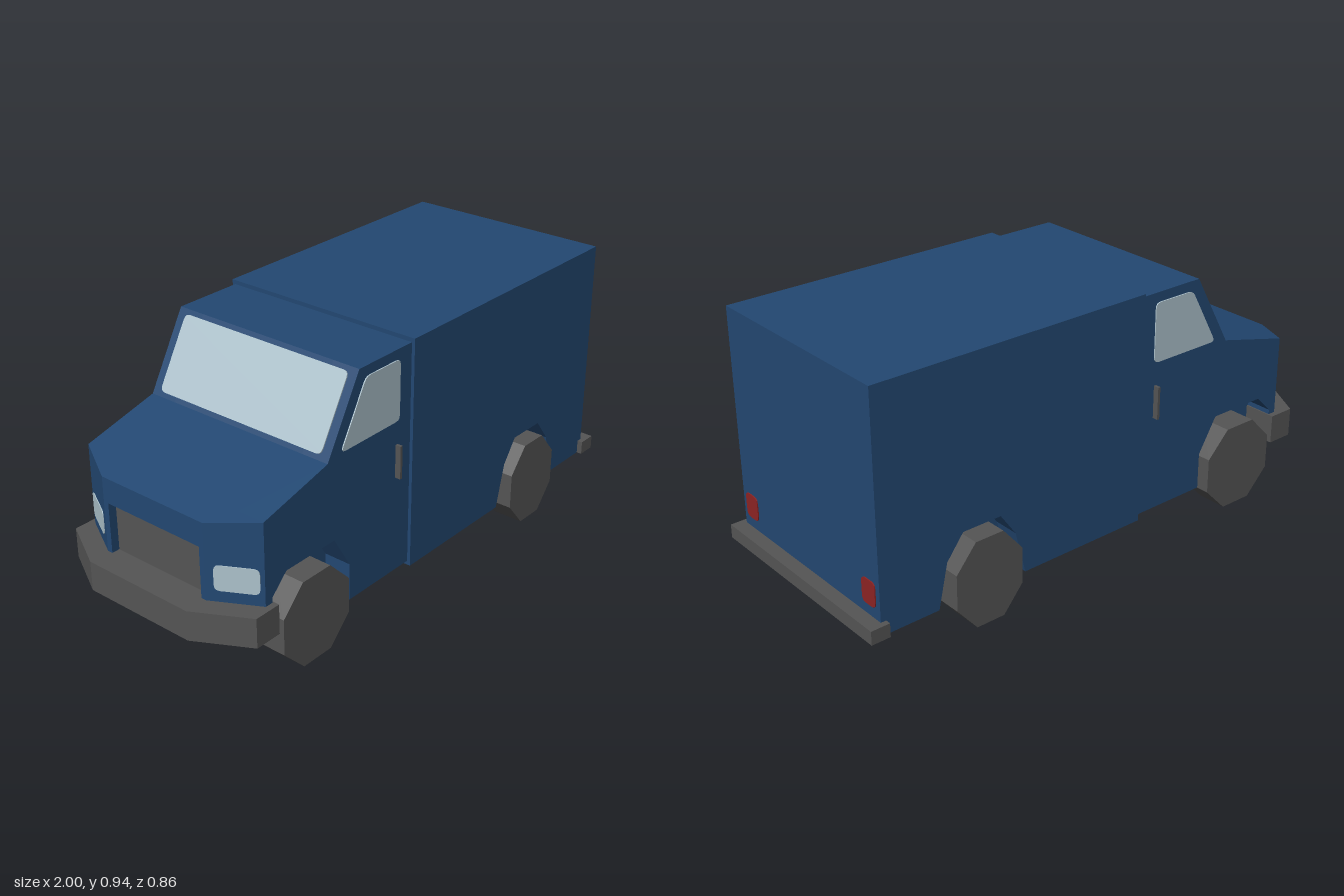
import * as THREE from 'three';

const flat = (name, color) => new THREE.MeshStandardMaterial({ name, color, flatShading: true });

export function createModel() {
  const van = new THREE.Group();
  van.name = 'van';
  const blue = flat('bodyBlue', 0x234872);
  const grey = flat('trimGrey', 0x555555);
  const glass = flat('paleGlass', 0xadc2cc);
  const red = flat('lampRed', 0x8e2323);

  function add(name, geometry, material, x = 0, y = 0, z = 0) {
    const mesh = new THREE.Mesh(geometry, material);
    mesh.name = name;
    mesh.position.set(x, y, z);
    van.add(mesh);
    return mesh;
  }
  const polygon = (pts) => new THREE.Shape(pts.map(([x, y]) => new THREE.Vector2(x, y)));
  const extrude = (shape, depth) =>
    new THREE.ExtrudeGeometry(shape, { depth, bevelEnabled: false, curveSegments: 3 });
  // plan outline raised from y0 to y1
  const raise = (pts, y0, y1) =>
    extrude(polygon(pts), y1 - y0).rotateX(-Math.PI / 2).translate(0, y0, 0);

  // thin plate with softened corners, centred on its own thickness
  function plate(pts, r) {
    const shape = new THREE.Shape();
    const v = pts.map(([x, y]) => new THREE.Vector2(x, y));
    v.forEach((p, i) => {
      const prev = v[(i + v.length - 1) % v.length];
      const next = v[(i + 1) % v.length];
      const a = prev.clone().sub(p).setLength(r).add(p);
      const b = next.clone().sub(p).setLength(r).add(p);
      if (i) shape.lineTo(a.x, a.y); else shape.moveTo(a.x, a.y);
      shape.quadraticCurveTo(p.x, p.y, b.x, b.y);
    });
    shape.closePath();
    return extrude(shape, 0.006).translate(0, 0, -0.003);
  }
  const rect = (w, h) => [[-w / 2, -h / 2], [w / 2, -h / 2], [w / 2, h / 2], [-w / 2, h / 2]];

  // body sections: solid core plus side walls with wheel arches cut out
  function section(name, top, coreBottom, archBottom, core, half) {
    add(name + 'Core', extrude(polygon([...coreBottom, ...top]), core * 2), blue, 0, 0, -core);
    for (const s of [1, -1]) {
      add(name + 'Side', extrude(polygon([...archBottom, ...top]), half - core), blue,
        0, 0, s > 0 ? core : -half);
    }
  }
  section('cargoBox',
    [[0.95, 0.1], [0.95, 0.94], [-0.13, 0.94]],
    [[-0.13, 0.1]],
    [[-0.13, 0.1], [0.38, 0.1], [0.42, 0.26], [0.48, 0.345], [0.63, 0.345], [0.695, 0.26], [0.73, 0.1]],
    0.3, 0.395);
  section('cab',
    [[-0.13, 0.115], [-0.13, 0.925], [-0.39, 0.925], [-0.54, 0.66], [-0.83, 0.587], [-0.83, 0.25]],
    [[-0.8, 0.25], [-0.8, 0.115]],
    [[-0.8, 0.25], [-0.8, 0.31], [-0.735, 0.375], [-0.51, 0.375], [-0.435, 0.25], [-0.435, 0.115]],
    0.28, 0.383);

  // nose with chamfered corners, sloping hood edge and grille recess
  const nose = [[-0.92, 0.22], [-0.83, 0.383], [-0.83, -0.383], [-0.92, -0.22]];
  const hood = raise(nose, 0.475, 0.6);
  const pos = hood.attributes.position;
  for (let i = 0; i < pos.count; i++) {
    if (pos.getY(i) > 0.55) pos.setY(i, 0.565 + 0.245 * (pos.getX(i) + 0.92));
  }
  hood.computeVertexNormals();
  add('noseTop', hood, blue);
  add('noseLower', raise([...nose, [-0.92, -0.2], [-0.885, -0.2], [-0.885, 0.2], [-0.92, 0.2]],
    0.25, 0.475), blue);
  add('grille', new THREE.BoxGeometry(0.006, 0.185, 0.4), grey, -0.887, 0.3825, 0);

  // bumpers
  add('frontBumper', raise([[-1, 0.215], [-0.895, 0.405], [-0.795, 0.405],
    [-0.795, -0.405], [-0.895, -0.405], [-1, -0.215]], 0.185, 0.292), grey);
  add('rearBumper', new THREE.BoxGeometry(0.07, 0.05, 0.83), grey, 0.965, 0.125, 0);

  // windscreen
  const screen = add('windscreen', plate(rect(0.7, 0.27), 0.02), glass, -0.466, 0.7935, 0);
  screen.rotation.set(0, -Math.PI / 2, 0);
  screen.rotateX(-Math.atan2(0.15, 0.265));

  for (const s of [1, -1]) {
    // side window, handle and lamps
    add('sideWindow', plate([[-0.48, 0.675], [-0.19, 0.675], [-0.19, 0.89], [-0.36, 0.89]], 0.02),
      glass, 0, 0, s * 0.384);
    add('doorHandle', new THREE.BoxGeometry(0.01, 0.12, 0.024), grey, -0.2, 0.53, s * 0.392);
    add('headlight', plate(rect(0.145, 0.09), 0.02), glass, -0.872, 0.378, s * 0.307)
      .rotation.y = Math.atan2(-0.163, s * 0.09);
    add('tailLight', plate(rect(0.07, 0.09), 0.02), red, 0.951, 0.234, s * 0.34)
      .rotation.y = Math.PI / 2;

    // eight-sided wheels
    for (const [name, x, width, z] of [['frontWheel', -0.62, 0.31, 0.347], ['rearWheel', 0.553, 0.265, 0.372]]) {
      const r = 0.1575 / Math.cos(Math.PI / 8);
      const wheel = new THREE.CylinderGeometry(r, r, 0.115, 8)
        .rotateY(Math.PI / 8).rotateX(Math.PI / 2).scale(width / 0.315, 1, 1);
      add(name, wheel, grey, x, 0.1575, s * z);
    }
  }
  return van;
}
